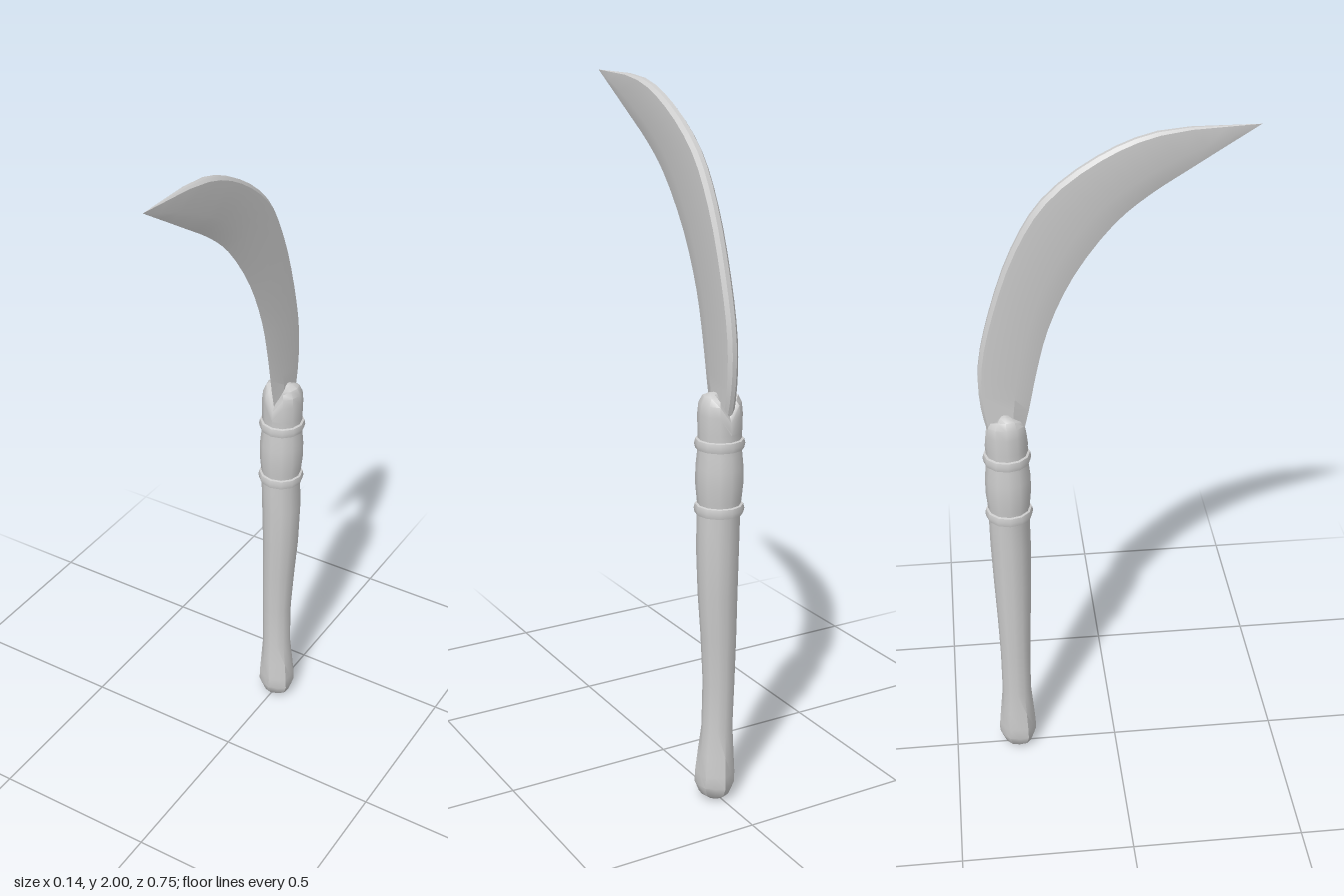
import * as THREE from 'three';
import { toCreasedNormals } from 'three/addons/utils/BufferGeometryUtils.js';

const SIDES = 12;
const HANDLE_Z = -0.306;
const grey = new THREE.MeshStandardMaterial({ color: 0xcccccc });

function part(name, geometry, crease) {
  const mesh = new THREE.Mesh(toCreasedNormals(geometry, crease), grey);
  mesh.name = name;
  return mesh;
}

// Turned shape whose vertices can be nudged by a rule
function turned(name, profile, rule) {
  const geo = new THREE.LatheGeometry(profile.map(([r, y]) => new THREE.Vector2(r, y)), SIDES);
  const pos = geo.attributes.position;
  const v = new THREE.Vector3();
  for (let i = 0; i < pos.count; i++) {
    v.fromBufferAttribute(pos, i);
    if (rule) rule(v);
    pos.setXYZ(i, v.x, v.y, v.z);
  }
  const mesh = part(name, geo, 0.7);
  mesh.position.z = HANDLE_Z;
  return mesh;
}

// Hand-carved unevenness, with flutes around the pommel
function carve(v) {
  const a = Math.atan2(v.z, v.x);
  const flute = Math.max(0, 1 - Math.abs(v.y - 0.09) / 0.12);
  const k = 1 - 0.05 * flute * (1 + Math.cos(6 * a)) + 0.025 * Math.sin(3 * a + v.y * 6);
  v.x *= k;
  v.z *= k;
  v.x += 0.004 * Math.sin(v.y * 9 + 1.5);
}

// Notch in the top of the ferrule where the blade enters
function notch(v) {
  if (v.y > 1.12) v.y -= 0.045 * Math.max(0, 1 - Math.abs(v.x) / 0.03) * Math.min(1, Math.abs(v.z) / 0.03);
}

// Curved blade lofted from its spine to its cutting edge
function bladeGeometry() {
  const curve = pts => new THREE.CatmullRomCurve3(pts.map(([z, y]) => new THREE.Vector3(0, y, z)));
  const spine = curve([[-0.345, 1.1], [-0.372, 1.22], [-0.374, 1.35], [-0.338, 1.51], [-0.272, 1.69],
    [-0.19, 1.82], [-0.045, 1.93], [0.11, 1.99], [0.378, 2]]);
  const edge = curve([[-0.265, 1.1], [-0.24, 1.2], [-0.215, 1.32], [-0.18, 1.45], [-0.11, 1.6],
    [0, 1.745], [0.09, 1.82], [0.2, 1.89], [0.378, 2]]);
  // Section: [fraction from spine to edge, fraction of thickness]
  const section = [[0, 0.4], [0.06, 1], [0.68, 1], [1, 0], [0.68, -1], [0.06, -1], [0, -0.4]];
  const steps = 24, n = section.length;
  const verts = [], index = [];
  for (let i = 0; i <= steps; i++) {
    const a = spine.getPoint(i / steps), b = edge.getPoint(i / steps);
    for (const [t, s] of section) {
      const p = a.clone().lerp(b, t);
      const w = 0.016 * THREE.MathUtils.clamp((0.378 - p.z) / 0.27, 0, 1);
      verts.push(s * w, p.y, p.z);
    }
  }
  for (let i = 0; i < steps; i++) {
    for (let j = 0; j < n; j++) {
      const a = i * n + j, b = i * n + (j + 1) % n;
      index.push(a, a + n, b + n);
      index.push(a, b + n, b);
    }
  }
  const geo = new THREE.BufferGeometry();
  geo.setAttribute('position', new THREE.Float32BufferAttribute(verts, 3));
  geo.setIndex(index);
  return geo;
}

export function createModel() {
  const model = new THREE.Group();
  model.name = 'sickle';

  model.add(part('blade', bladeGeometry(), 0.35));

  // Long grip with a flared pommel
  model.add(turned('grip', [[0, 0], [0.028, 0.002], [0.045, 0.015], [0.057, 0.045], [0.056, 0.08], [0.051, 0.14],
    [0.044, 0.22], [0.045, 0.36], [0.05, 0.5], [0.055, 0.62], [0.059, 0.76], [0.059, 0.87]], carve));

  // Swelling between the two bands
  model.add(turned('collar', [[0.058, 0.87], [0.061, 0.9], [0.065, 0.94], [0.065, 0.99], [0.061, 1.03], [0.059, 1.06]]));

  // Rounded, notched ferrule holding the blade
  model.add(turned('ferrule', [[0.059, 1.05], [0.06, 1.09], [0.061, 1.14], [0.058, 1.17], [0.048, 1.19],
    [0.03, 1.2], [0, 1.2]], notch));

  // Raised bands
  for (const y of [0.873, 1.057]) {
    model.add(turned('band', [[0.056, y - 0.016], [0.066, y - 0.013], [0.069, y], [0.066, y + 0.013], [0.056, y + 0.016]]));
  }
  return model;
}
